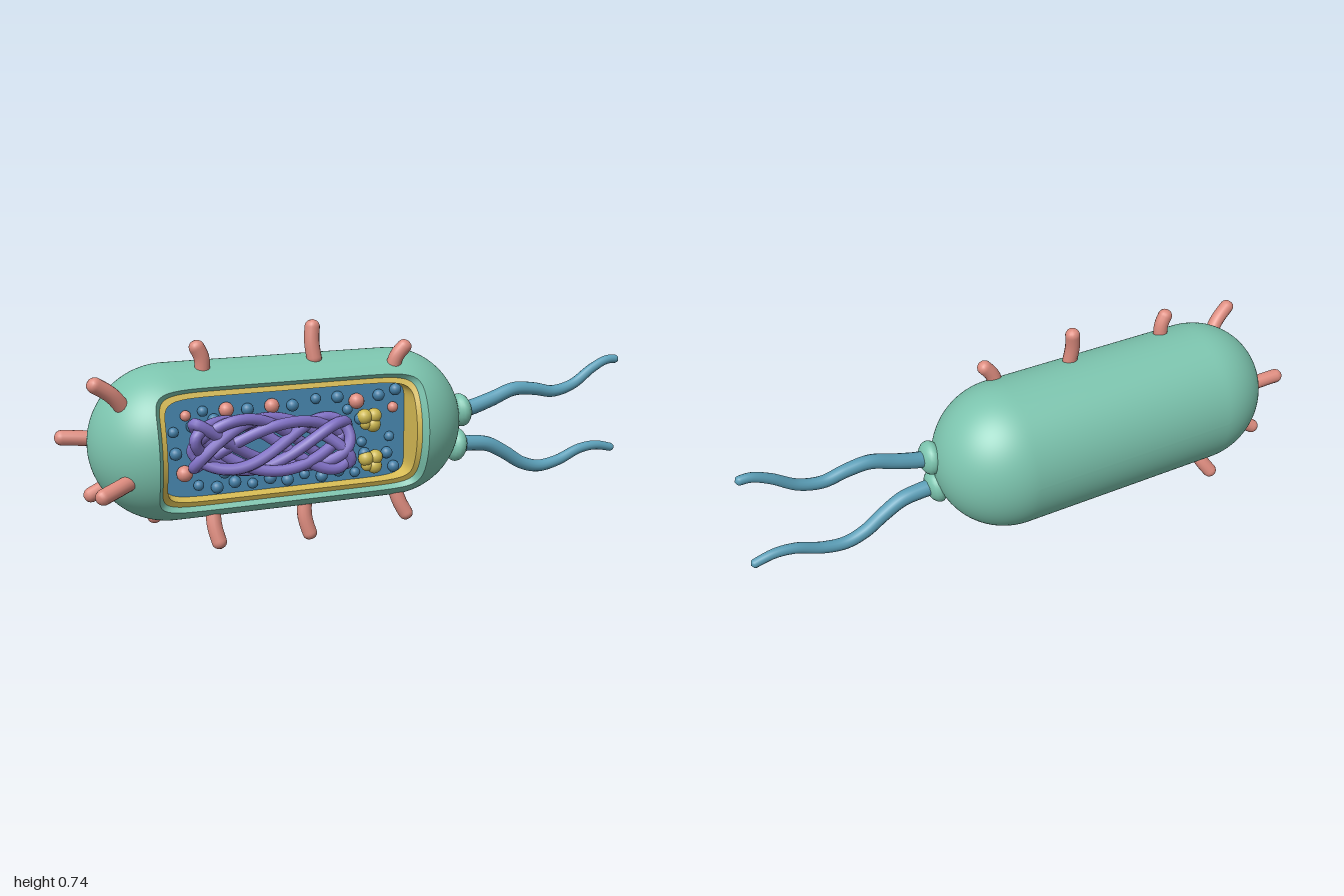
import * as THREE from 'three';
import { mergeVertices } from 'three/addons/utils/BufferGeometryUtils.js';

const mat = (name, color, side = THREE.FrontSide) => {
  const m = new THREE.MeshStandardMaterial({ color, side });
  m.name = name;
  return m;
};
const V = (x, y, z) => new THREE.Vector3(x, y, z);

// Capsule body: straight spine along x, radius R, slightly flattened in z
const CX = -0.275, CY = 0.365, L = 0.38, R = 0.255, RZ = 0.24, N = 192;

// Rounded rectangle window outline, shrunk by an inset, as spine point + direction + radius
function windowPoint(i, inset) {
  const t = (i / N) * Math.PI * 2, c = Math.cos(t), s = Math.sin(t);
  const k = Math.pow(Math.abs(c) ** 10 + Math.abs(s) ** 10, -0.1);
  const x = -0.008 + (0.445 - inset) * c * k, y = (0.198 - inset) * s * k;
  const sx = THREE.MathUtils.clamp(x, -L, L);
  const rho = Math.hypot(x - sx, y);
  return { x, y, sx, dx: (x - sx) / rho, dy: y / rho, rho };
}

// Window loop lying at a depth below the body surface, or at a fixed z
function windowLoop(inset, depth, flatZ) {
  return Array.from({ length: N }, (_, i) => {
    const p = windowPoint(i, inset);
    const z = flatZ ?? RZ * Math.sqrt(1 - (p.rho / R) ** 2) - depth;
    return V(CX + p.x, CY + p.y, z);
  });
}

// Surface through closed loops, ordered from the inside outwards
function loft(loops) {
  const pos = [], idx = [];
  loops.forEach((loop) => loop.forEach((p) => pos.push(p.x, p.y, p.z)));
  for (let j = 0; j < loops.length - 1; j++) {
    for (let i = 0; i < N; i++) {
      const a = j * N + i, b = j * N + ((i + 1) % N);
      idx.push(a, a + N, b, b, a + N, b + N);
    }
  }
  const g = new THREE.BufferGeometry();
  g.setAttribute('position', new THREE.Float32BufferAttribute(pos, 3));
  g.setIndex(idx);
  g.computeVertexNormals();
  return g;
}

// Tube with rounded ends whose radius runs from r0 to r1
function taperedTube(points, r0, r1, segs) {
  const curve = new THREE.CatmullRomCurve3(points);
  const len = curve.getLength(), sides = 14;
  const g = new THREE.TubeGeometry(curve, segs, 1, sides);
  const p = g.attributes.position, v = V(0, 0, 0);
  for (let i = 0; i <= segs; i++) {
    const u = i / segs, c = curve.getPointAt(u), r = r0 + (r1 - r0) * u;
    const d = Math.min(1, Math.min(u, 1 - u) * len / r);
    const f = r * Math.sqrt(Math.max(0, 1 - (1 - d) ** 2));
    for (let k = 0; k <= sides; k++) {
      const n = i * (sides + 1) + k;
      v.fromBufferAttribute(p, n).sub(c).multiplyScalar(f).add(c);
      p.setXYZ(n, v.x, v.y, v.z);
    }
  }
  g.deleteAttribute('uv');
  g.deleteAttribute('normal');
  const out = mergeVertices(g, 1e-5);
  out.computeVertexNormals();
  return out;
}

export function createModel() {
  const root = new THREE.Group();
  root.name = 'bacterium';
  const green = mat('cell wall green', 0x7cc4ae, THREE.DoubleSide);
  const yellow = mat('membrane yellow', 0xd9bd55, THREE.DoubleSide);
  const floorBlue = mat('cytoplasm blue', 0x4a8ab4);
  const dotBlue = mat('ribosome blue', 0x447fa6);
  const tailBlue = mat('flagellum blue', 0x5b9fb8);
  const salmon = mat('pilus salmon', 0xdd8c7f);
  const purple = mat('chromosome purple', 0x8070c4);
  const gold = mat('inclusion gold', 0xcdb850);
  const add = (name, geo, m, parent = root) => {
    const mesh = new THREE.Mesh(geo, m);
    mesh.name = name;
    parent.add(mesh);
    return mesh;
  };
  const group = (name) => {
    const g = new THREE.Group();
    g.name = name;
    root.add(g);
    return g;
  };

  // Outer wall, swept from the window edge round to the back spine
  const loops = [], steps = 48;
  for (let j = 0; j <= steps; j++) {
    loops.push(Array.from({ length: N }, (_, i) => {
      const p = windowPoint(i, 0);
      const start = Math.asin(p.rho / R);
      const phi = start + (Math.PI - start) * (j / steps);
      const r = R * Math.sin(phi);
      return V(CX + p.sx + p.dx * r, CY + p.dy * r, RZ * Math.cos(phi));
    }));
  }
  add('cellWall', loft(loops), green);

  // Window lip, membrane rim, membrane wall and cytoplasm floor
  const FLOOR = 0.1;
  add('wallLip', loft([windowLoop(0.014, 0.028), windowLoop(0, 0)]), green);
  add('membraneRim', loft([windowLoop(0.03, 0.036), windowLoop(0.014, 0.028)]), yellow);
  add('membraneWall', loft([windowLoop(0.034, 0, FLOOR), windowLoop(0.03, 0.036)]), yellow);
  const floorShape = new THREE.Shape(windowLoop(0.034, 0, 0).map((p) => new THREE.Vector2(p.x, p.y)));
  add('cytoplasm', new THREE.ShapeGeometry(floorShape), floorBlue).position.z = FLOOR;

  // Tangled chromosome loop
  const knot = [];
  for (let i = 0; i < 160; i++) {
    const t = (i / 160) * Math.PI * 2;
    const u = Math.sin(4 * t + 0.4);
    const y = 0.36 - 0.022 * u + 0.088 * (1 - 0.25 * u * u) * Math.sin(7 * t) + 0.008 * Math.sin(13 * t);
    knot.push(V(-0.345 + 0.262 * u, y, 0.143 + 0.022 * Math.sin(11 * t + 1) - 0.012 * u));
  }
  add('chromosome', new THREE.TubeGeometry(new THREE.CatmullRomCurve3(knot, true), 600, 0.019, 10, true), purple);

  // Ribosomes and larger granules resting on the floor
  const ball = new THREE.SphereGeometry(1, 18, 12);
  const ribosomes = group('ribosomes');
  const dot = (x, y, r, m, name) => {
    const b = add(name, ball, m, ribosomes);
    b.position.set(x, y, FLOOR + r * 0.6);
    b.scale.setScalar(r);
  };
  const blue = [[-0.565, 0.48], [-0.42, 0.475], [-0.27, 0.475], [-0.19, 0.49], [-0.115, 0.49], [0.03, 0.485],
    [-0.66, 0.42], [-0.655, 0.35], [-0.6, 0.435], [0.07, 0.34], [0.06, 0.285], [0.085, 0.235],
    [-0.03, 0.33], [-0.035, 0.41], [-0.53, 0.45], [-0.08, 0.445], [-0.02, 0.29], [0.09, 0.5]];
  for (let i = 0; i < 10; i++) blue.push([-0.585 + i * 0.059, 0.24 - (i % 2) * 0.012]);
  for (let i = 0; i < 4; i++) blue.push([-0.5 + i * 0.12, 0.275 - i * 0.005]);
  blue.forEach(([x, y], i) => dot(x, y, i % 3 ? 0.02 : 0.017, dotBlue, 'ribosome'));
  [[-0.62, 0.47, 0.017], [-0.49, 0.48, 0.024], [-0.34, 0.48, 0.024], [-0.05, 0.472, 0.026], [0.082, 0.44, 0.018],
    [-0.63, 0.285, 0.026]].forEach(([x, y, r]) => dot(x, y, r, salmon, 'granule'));

  // Lumpy storage inclusions
  const inclusions = group('inclusions');
  for (const [x, y] of [[-0.005, 0.405], [0, 0.262]]) {
    for (const [dx, dy, r] of [[-0.018, 0.012, 0.026], [0.016, 0.014, 0.025], [0.012, -0.016, 0.026], [-0.014, -0.012, 0.02]]) {
      const b = add('inclusionLobe', ball, gold, inclusions);
      b.position.set(x + dx, y + dy, FLOOR + 0.02);
      b.scale.setScalar(r);
    }
  }

  // Pili: base, tip and sideways bend of the middle
  const pili = group('pili');
  const pilusData = [
    [-0.55, 0.58, 0.06, -0.578, 0.696, 0.065, 0.012], [-0.172, 0.59, 0.06, -0.174, 0.74, 0.042, -0.008],
    [0.08, 0.555, 0.1, 0.137, 0.66, 0.115, -0.012], [-0.8, 0.495, 0.1, -0.915, 0.605, 0.135, 0.012],
    [-0.87, 0.375, -0.08, -1, 0.387, -0.093, -0.004], [-0.78, 0.295, 0.14, -0.92, 0.262, 0.225, 0.008],
    [-0.82, 0.235, -0.06, -0.915, 0.175, -0.095, 0.006], [-0.64, 0.17, -0.07, -0.698, 0.06, -0.135, 0.01],
    [-0.535, 0.16, 0.08, -0.52, 0.023, 0.122, -0.008], [-0.215, 0.15, 0.06, -0.198, 0.001, 0.082, -0.012],
    [0.1, 0.16, 0.08, 0.15, 0.038, 0.102, -0.008],
  ];
  for (const [x0, y0, z0, x1, y1, z1, bend] of pilusData) {
    const mid = V((x0 + x1) / 2 + bend, (y0 + y1) / 2 + Math.abs(bend) * 0.4, (z0 + z1) / 2);
    add('pilus', taperedTube([V(x0, y0, z0), mid, V(x1, y1, z1)], 0.025, 0.025, 36), salmon, pili);
  }

  // Flagella, each with a swollen socket at its base
  const flagella = group('flagella');
  const paths = [
    [[0.33, 0.39], [0.4, 0.4], [0.48, 0.423], [0.57, 0.453], [0.65, 0.448], [0.73, 0.433], [0.81, 0.452], [0.89, 0.505], [0.95, 0.532], [1, 0.533]],
    [[0.33, 0.275], [0.4, 0.272], [0.47, 0.262], [0.54, 0.225], [0.61, 0.18], [0.68, 0.16], [0.76, 0.172], [0.85, 0.207], [0.92, 0.214], [1, 0.197]],
  ];
  paths.forEach((path, i) => {
    const pts = path.map(([x, y]) => V(x, y, 0.057));
    add('flagellum', taperedTube(pts, 0.029, 0.015, 110), tailBlue, flagella);
    const socket = add('flagellumSocket', ball, green, flagella);
    socket.position.set(i ? 0.345 : 0.36, i ? 0.272 : 0.395, 0.057);
    socket.scale.set(0.036, 0.058, 0.058);
    socket.rotation.z = i ? -0.15 : 0.1;
  });
  return root;
}
